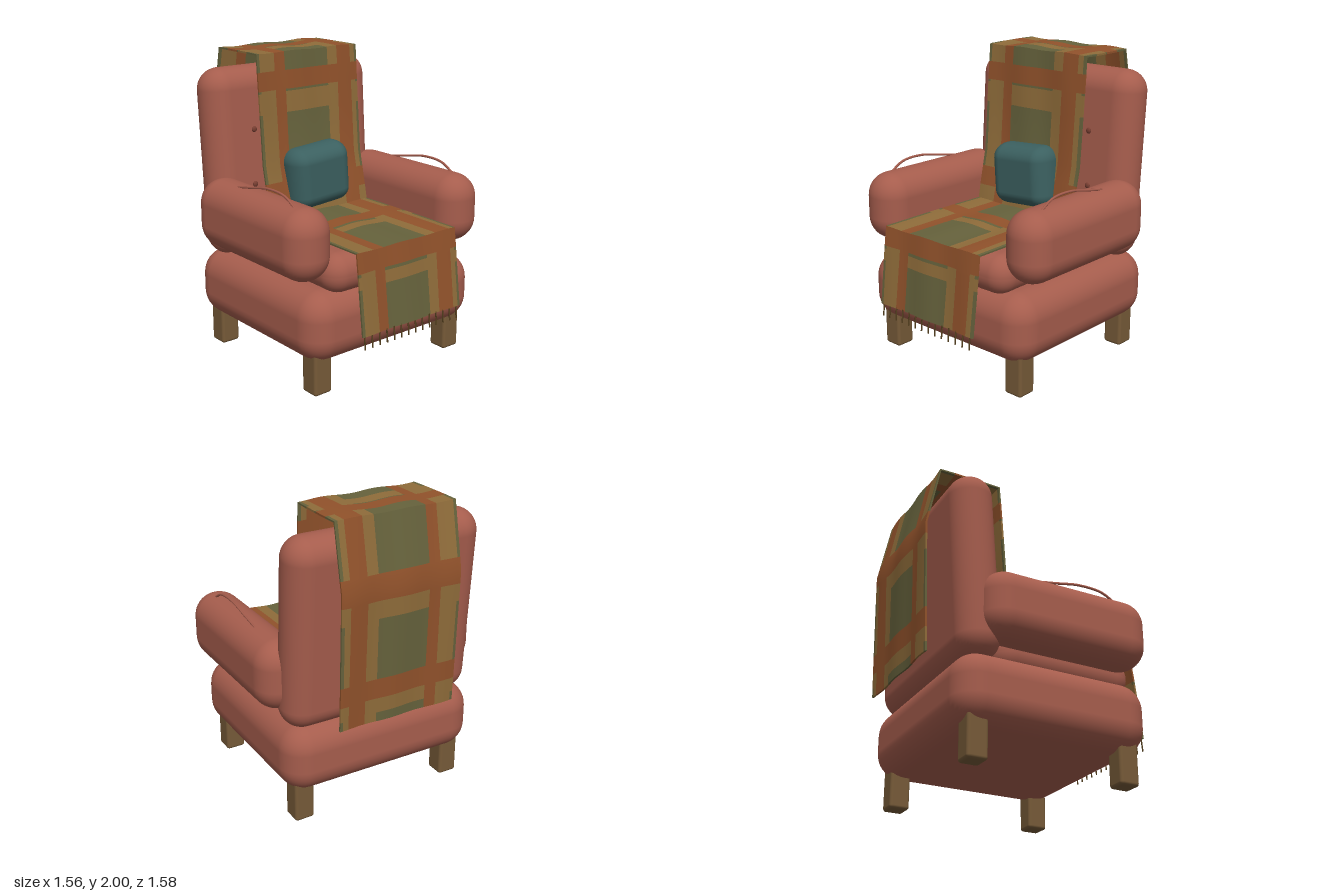
import * as THREE from 'three';
import { toCreasedNormals } from 'three/addons/utils/BufferGeometryUtils.js';
import { RoundedBoxGeometry } from 'three/addons/geometries/RoundedBoxGeometry.js';

const material = (name, color) => {
  const m = new THREE.MeshStandardMaterial({ color });
  m.name = name;
  return m;
};

export function createModel() {
  const model = new THREE.Group();
  model.name = 'armchair';
  const rose = material('rose upholstery', 0xa65d4d);
  const wood = material('wood', 0x765a38);
  const teal = material('teal fabric', 0x3b6060);
  const olive = material('olive wool', 0x66623c);
  const ochre = material('ochre wool', 0x8f6c3a);
  const rust = material('rust wool', 0x91522b);
  const fringeBrown = material('fringe brown', 0x55401f);
  const buttonRed = material('button red', 0x7a4033);

  const add = (name, geometry, mat, x = 0, y = 0, z = 0) => {
    const mesh = new THREE.Mesh(geometry, mat);
    mesh.name = name;
    mesh.position.set(x, y, z);
    model.add(mesh);
    return mesh;
  };
  const soft = (w, h, d, r) => new RoundedBoxGeometry(w, h, d, 5, r);

  // Upholstered body
  add('base', soft(1.38, 0.46, 1.31, 0.17), rose, 0, 0.44, 0);
  add('seatCushion', soft(1.06, 0.26, 0.97, 0.125), rose, 0, 0.76, 0.155);
  add('backrest', soft(1.33, 1.25, 0.29, 0.144), rose, 0, 1.265, -0.515).rotation.x = -0.065;

  // Arms with top seams, back buttons and legs, mirrored
  for (const s of [1, -1]) {
    add('arm', soft(0.32, 0.46, 1.14, 0.158), rose, s * 0.622, 0.97, 0.057);
    const seam = new THREE.CatmullRomCurve3(
      [[1.18, 0.45], [1.24, 0.34], [1.25, 0.17], [1.22, 0], [1.193, -0.15]]
        .map(([y, z]) => new THREE.Vector3(s * 0.656, y, z)));
    add('armSeam', new THREE.TubeGeometry(seam, 20, 0.008, 6), rose);
    for (const y of [1.13, 1.5]) {
      add('button', new THREE.SphereGeometry(0.02, 10, 8), buttonRed, s * 0.4, y, -0.33)
        .scale.z = 0.5;
    }
    for (const z of [0.51, -0.51]) {
      add('leg', soft(0.134, 0.29, 0.134, 0.02), wood, s * 0.553, 0.147, z);
    }
  }

  // Throw pillow
  const pillow = add('pillow', soft(0.47, 0.42, 0.2, 0.098), teal, -0.005, 1.162, -0.19);
  pillow.scale.z = 1.3;
  pillow.rotation.z = 0.07;

  // Blanket: panels from the back hem to the front hem; bands are [end fraction, colour]
  const panels = [
    { from: [-0.757, 0.69], bands: [[0.07, olive], [0.18, ochre], [0.33, rust], [0.78, olive], [0.91, ochre], [1, rust]] },
    { from: [-0.78, 1.57], bands: [[0.2, rust], [1, olive]] },
    { from: [-0.697, 1.988], bands: [[0.235, olive], [0.495, rust], [0.52, olive], [0.75, ochre], [1, olive]] },
    { from: [-0.275, 1.988], bands: [[0.16, olive], [0.33, rust], [0.35, olive], [0.54, ochre], [1, olive]] },
    { from: [-0.226, 1.27], bands: [[0.34, olive], [0.71, rust], [1, ochre]] },
    { from: [-0.15, 0.92], bands: [[0.29, olive], [0.435, rust], [0.465, olive], [0.56, ochre], [1, olive]] },
    { from: [0.708, 0.92], bands: [[0.24, rust], [0.28, olive], [0.43, ochre], [1, olive]] },
    { from: [0.77, 0.41], bands: [] },
  ];
  const rows = [{ z: panels[0].from[0], y: panels[0].from[1] }];
  for (let p = 0; p < panels.length - 1; p++) {
    const [z0, y0] = panels[p].from, [z1, y1] = panels[p + 1].from;
    for (const [t, band] of panels[p].bands) {
      rows.push({ z: z0 + (z1 - z0) * t, y: y0 + (y1 - y0) * t, band });
    }
  }
  // Outward direction of each row
  rows.forEach((r, i) => {
    const sum = new THREE.Vector2();
    for (const k of [i - 1, i]) {
      if (k < 0 || k + 1 >= rows.length) continue;
      const a = rows[k], b = rows[k + 1];
      sum.add(new THREE.Vector2(-(b.y - a.y), b.z - a.z).normalize());
    }
    r.n = sum.normalize();
  });
  const columns = 42, halfWidth = 0.413;
  const xAt = (j) => -halfWidth + 2 * halfWidth * j / columns;
  const stripe = (x) => {
    if ((x > -0.28 && x < -0.2) || (x > 0.245 && x < 0.36)) return rust;
    if ((x > -0.385 && x < -0.28) || (x > 0.165 && x < 0.4)) return ochre;
    return olive;
  };
  const point = (i, j, side) => {
    const r = rows[i], x = xAt(j);
    const off = 0.005 * Math.sin(17 * x + r.y * 2 + r.z) + side * 0.006;
    return [x, r.y + r.n.y * off, r.z + r.n.x * off];
  };
  const cells = new Map([[olive, []], [ochre, []], [rust, []]]);
  const quad = (list, a, b, c, d) => list.push(...a, ...b, ...c, ...a, ...c, ...d);
  for (let i = 0; i < rows.length - 1; i++) {
    for (let j = 0; j < columns; j++) {
      const column = stripe((xAt(j) + xAt(j + 1)) / 2), band = rows[i + 1].band;
      const colour = [column, band].includes(rust) ? rust
        : [column, band].includes(ochre) ? ochre : olive;
      const list = cells.get(colour);
      const corners = (s) => [point(i, j, s), point(i + 1, j, s), point(i + 1, j + 1, s), point(i, j + 1, s)];
      const [a, b, c, d] = corners(1), [e, f, g, h] = corners(-1);
      quad(list, a, b, c, d);
      quad(list, h, g, f, e);
      if (j === 0) quad(list, a, e, f, b);
      if (j === columns - 1) quad(list, c, g, h, d);
      if (i === 0) quad(list, d, h, e, a);
      if (i === rows.length - 2) quad(list, b, f, g, c);
    }
  }
  for (const [mat, list] of cells) {
    const g = new THREE.BufferGeometry();
    g.setAttribute('position', new THREE.Float32BufferAttribute(list, 3));
    add('blanket ' + mat.name, toCreasedNormals(g, 0.4), mat);
  }

  // Fringe along the front hem
  for (let k = 0; k < 14; k++) {
    add('fringe', new THREE.CylinderGeometry(0.005, 0.005, 0.09, 6), fringeBrown,
      -0.395 + k * 0.06, 0.373, 0.775).rotation.x = -0.1;
  }
  return model;
}
